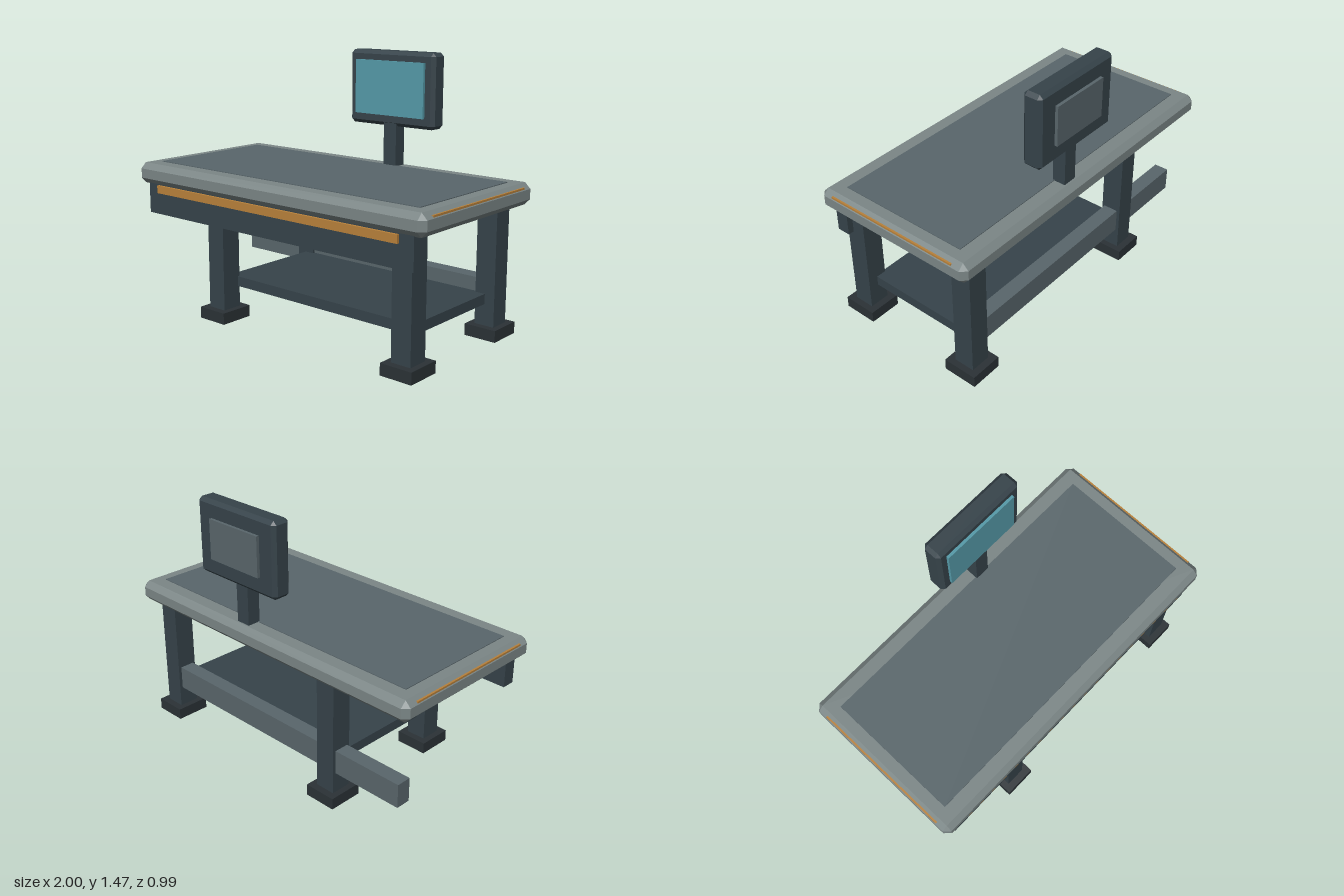
import * as THREE from 'three';
import { ConvexGeometry } from 'three/addons/geometries/ConvexGeometry.js';

const paint = (color) => new THREE.MeshStandardMaterial({ color, flatShading: true });

export function createModel() {
  const model = new THREE.Group();
  model.name = 'workbench';

  const frame = paint(0x36434a);
  const dark = paint(0x2b3236);
  const steel = paint(0x7b8686);
  const slate = paint(0x59666b);
  const amber = paint(0xb8813a);
  const glass = paint(0x559aa8);

  // Places a geometry at the middle of its x, y and z ranges
  function place(name, geometry, material, x, y, z) {
    const mesh = new THREE.Mesh(geometry, material);
    mesh.name = name;
    mesh.position.set((x[0] + x[1]) / 2, (y[0] + y[1]) / 2, (z[0] + z[1]) / 2);
    model.add(mesh);
  }

  const size = (r) => r[1] - r[0];

  function box(name, material, x, y, z) {
    place(name, new THREE.BoxGeometry(size(x), size(y), size(z)), material, x, y, z);
  }

  // Box with every edge cut by one flat bevel
  function bevelBox(name, material, x, y, z, c) {
    const half = [size(x) / 2, size(y) / 2, size(z) / 2];
    const points = [];
    for (const sx of [-1, 1]) for (const sy of [-1, 1]) for (const sz of [-1, 1]) {
      for (let axis = 0; axis < 3; axis++) {
        const h = half.map((v, i) => (i === axis ? v : v - c));
        points.push(new THREE.Vector3(sx * h[0], sy * h[1], sz * h[2]));
      }
    }
    place(name, new ConvexGeometry(points), material, x, y, z);
  }

  // Worktop with inset mat and end strips
  bevelBox('worktop', steel, [-1, 1], [0.714, 0.832], [-0.485, 0.494], 0.032);
  box('worktopMat', slate, [-0.907, 0.907], [0.82, 0.836], [-0.379, 0.388]);
  for (const s of [-1, 1]) {
    box('endStrip', amber, [s * 0.99 - 0.006, s * 0.99 + 0.006], [0.785, 0.814], [-0.4, 0.41]);
  }

  // Front apron and its trim
  box('apron', frame, [-0.933, 0.933], [0.545, 0.72], [0.39, 0.467]);
  box('apronTrim', amber, [-0.848, 0.848], [0.67, 0.714], [0.46, 0.483]);

  // Legs and feet
  for (const x of [-0.427, 0.841]) for (const z of [-0.364, 0.371]) {
    box('leg', frame, [x - 0.058, x + 0.058], [0.04, 0.73], [z - 0.059, z + 0.059]);
    box('foot', dark, [x - 0.093, x + 0.093], [0, 0.064], [z - 0.099, z + 0.099]);
  }

  // Lower shelf and rear rail
  box('shelf', frame, [-0.427, 0.841], [0.182, 0.238], [-0.325, 0.325]);
  box('rearRail', slate, [-0.905, 0.89], [0.18, 0.314], [-0.405, -0.32]);

  // Monitor on its post
  box('monitorPost', frame, [0.111, 0.196], [0.81, 1.08], [-0.444, -0.368]);
  bevelBox('monitorCase', frame, [-0.134, 0.444], [1.056, 1.471], [-0.477, -0.366], 0.02);
  box('monitorScreen', glass, [-0.08, 0.387], [1.116, 1.418], [-0.38, -0.35]);
  box('monitorBackPlate', slate, [-0.027, 0.332], [1.157, 1.378], [-0.494, -0.465]);

  return model;
}
